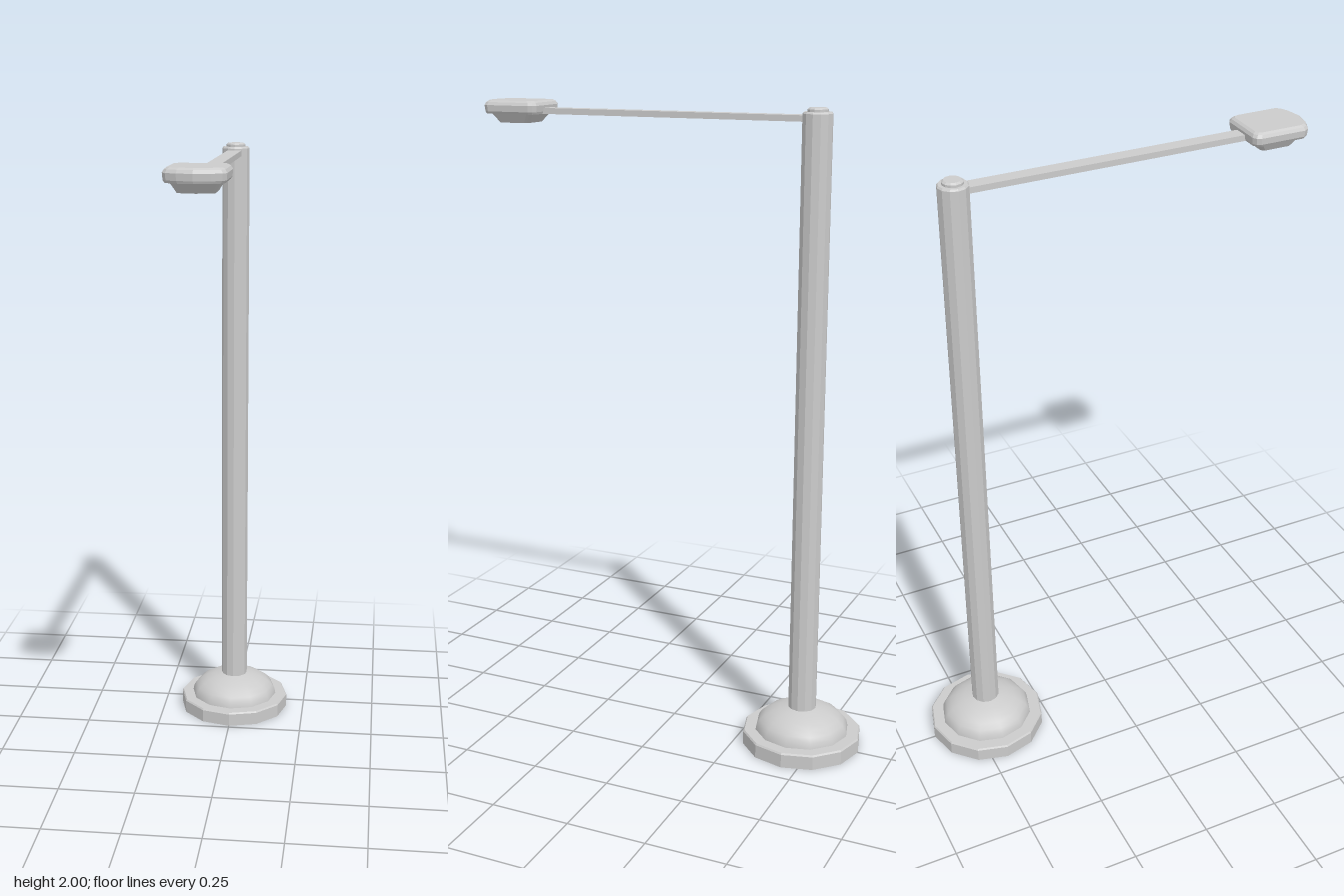
import * as THREE from 'three';

const flat = new THREE.MeshStandardMaterial({ color: 0xcccccc, flatShading: true });
const flatOpen = new THREE.MeshStandardMaterial({ color: 0xcccccc, flatShading: true, side: THREE.DoubleSide });
const smoothOpen = new THREE.MeshStandardMaterial({ color: 0xcccccc, side: THREE.DoubleSide });

const SIDES = 12;
const POLE_Z = -0.45;

function add(parent, name, geometry, material) {
  const mesh = new THREE.Mesh(geometry, material);
  mesh.name = name;
  parent.add(mesh);
  return mesh;
}

function lathe(points) {
  return new THREE.LatheGeometry(points.map(([r, y]) => new THREE.Vector2(r, y)), SIDES);
}

// Right half of the lamp head outline (x, z), from front tip to back, mirrored to close it
const half = [[0, 0.105], [0.045, 0.097], [0.075, 0.083], [0.085, 0.068],
  [0.085, -0.077], [0.08, -0.09], [0.067, -0.097]];
const outline = [...half, ...half.slice(1).reverse().map(([x, z]) => [-x, z])];

// Joins scaled copies of the outline, listed bottom to top as [y, scaleX, scaleZ], with end caps
function loft(layers) {
  const n = outline.length;
  const pos = [];
  const index = [];
  for (const [y, sx, sz] of layers) for (const [x, z] of outline) pos.push(x * sx, y, z * sz);
  for (let l = 0; l < layers.length - 1; l++) {
    for (let i = 0; i < n; i++) {
      const a = l * n + i, b = l * n + (i + 1) % n;
      index.push(a, b, b + n, a, b + n, a + n);
    }
  }
  const top = (layers.length - 1) * n;
  for (let i = 1; i < n - 1; i++) {
    index.push(0, i + 1, i);
    index.push(top, top + i, top + i + 1);
  }
  const g = new THREE.BufferGeometry();
  g.setAttribute('position', new THREE.Float32BufferAttribute(pos, 3));
  g.setIndex(index);
  g.computeVertexNormals();
  return g;
}

export function createModel() {
  const model = new THREE.Group();
  model.name = 'streetLamp';

  // Hollow foot: faceted rim with a smooth dome
  const post = new THREE.Group();
  post.name = 'post';
  post.position.z = POLE_Z;
  model.add(post);
  add(post, 'baseRim', lathe([[0.19, 0], [0.19, 0.043], [0.186, 0.048], [0.15, 0.048]]), flatOpen);
  const dome = [];
  for (let i = 0; i <= 6; i++) {
    const t = (i / 6) * 1.27;
    dome.push([0.15 * Math.cos(t), 0.048 + 0.081 * Math.sin(t)]);
  }
  add(post, 'baseDome', lathe(dome), smoothOpen);

  // Pole with a small cap
  add(post, 'pole', lathe([[0, 0.11], [0.045, 0.11], [0.045, 1.983], [0.041, 1.988], [0, 1.988]]), flat);
  add(post, 'poleCap', lathe([[0.031, 1.985], [0.031, 1.995], [0.025, 2], [0, 2]]), flat);

  // Flat arm reaching forward
  const arm = add(model, 'arm', new THREE.BoxGeometry(0.045, 0.018, 0.87), flat);
  arm.position.set(0, 1.969, 0.015);

  // Lamp head with bevelled housing and tapered lens
  const head = new THREE.Group();
  head.name = 'lampHead';
  head.position.z = 0.53;
  model.add(head);
  add(head, 'housing', loft([[1.96, 0.93, 0.95], [1.967, 0.98, 0.98], [1.986, 1, 1], [1.995, 0.94, 0.95], [2, 0.86, 0.87]]), flat);
  add(head, 'lens', loft([[1.932, 0.6, 0.55], [1.962, 0.81, 0.81]]), flat);

  return model;
}
